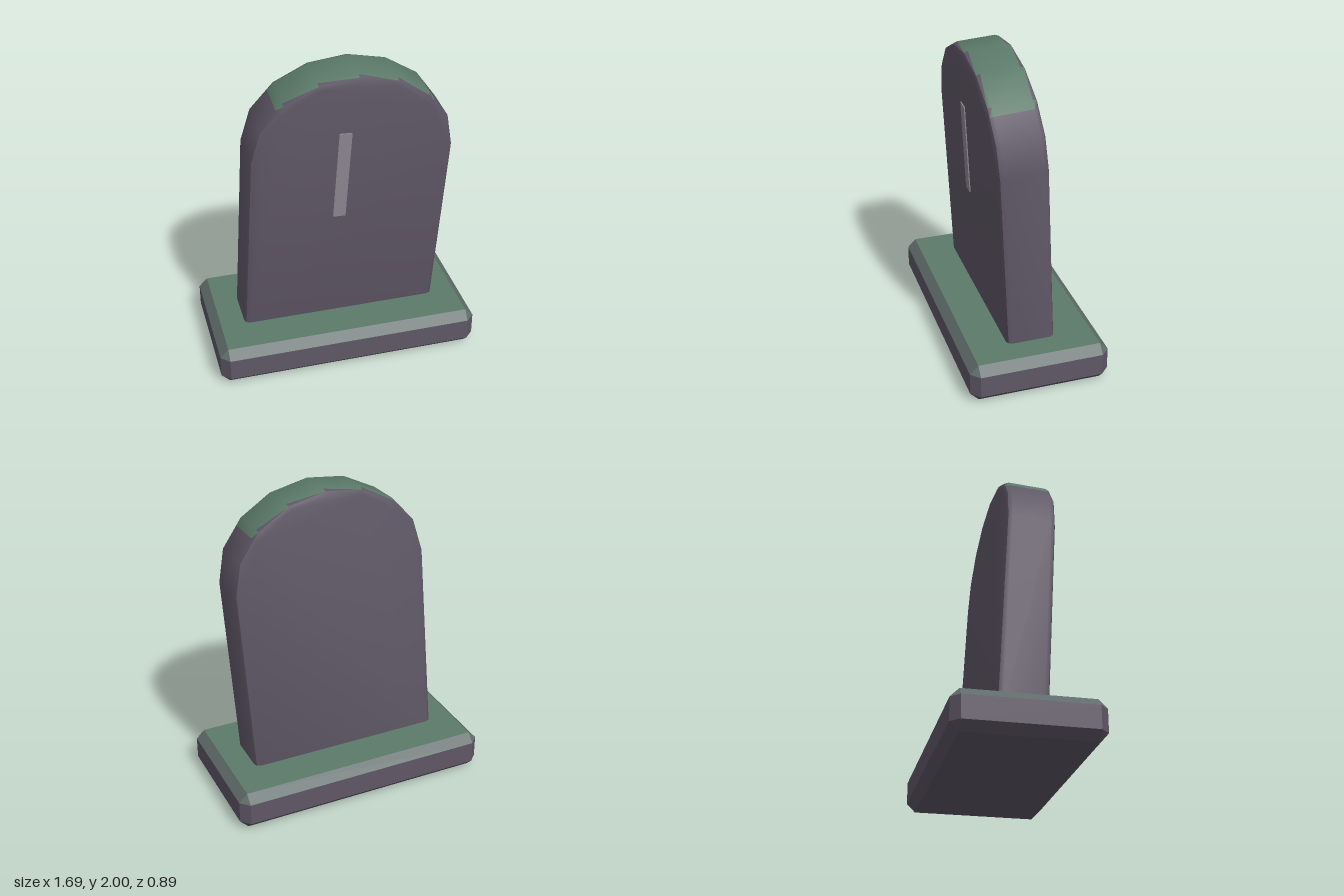
import * as THREE from 'three';
import { toCreasedNormals } from 'three/addons/utils/BufferGeometryUtils.js';
import { ConvexGeometry } from 'three/addons/geometries/ConvexGeometry.js';

const flat = (name, color) => {
  const m = new THREE.MeshStandardMaterial({ color });
  m.name = name;
  return m;
};

// Gives every triangle a material index chosen from its centre and normal
function paint(geometry, pick) {
  const p = geometry.attributes.position;
  const t = new THREE.Triangle(), centre = new THREE.Vector3(), normal = new THREE.Vector3();
  geometry.clearGroups();
  for (let i = 0; i < p.count; i += 3) {
    t.setFromAttributeAndIndices(p, i, i + 1, i + 2);
    t.getMidpoint(centre);
    t.getNormal(normal);
    geometry.addGroup(i, 3, pick(centre, normal));
  }
  return geometry;
}

// Box with every edge and corner cut off
function chamferBox(w, h, d, c) {
  const points = [];
  for (const x of [-1, 1]) for (const y of [-1, 1]) for (const z of [-1, 1])
    for (let axis = 0; axis < 3; axis++) {
      const cut = [c, c, c];
      cut[axis] = 0;
      points.push(new THREE.Vector3(x * (w / 2 - cut[0]), y * (h / 2 - cut[1]), z * (d / 2 - cut[2])));
    }
  return new ConvexGeometry(points);
}

export function createModel() {
  const stone = flat('stone', 0x5f5766);
  const moss = flat('moss', 0x5b7a69);
  const mossyEdge = flat('mossy stone', 0x5f6c6a);
  const paleStone = flat('pale stone', 0x8f8991);
  const model = new THREE.Group();
  model.name = 'gravestone';

  // Plinth with a mossy top
  const plinth = new THREE.Mesh(
    paint(chamferBox(1.69, 0.25, 0.89, 0.054), (c, n) => (n.y > 0.95 ? 1 : n.y > 0.3 ? 2 : 0)),
    [stone, moss, mossyEdge]);
  plinth.name = 'plinth';
  plinth.position.y = 0.125;
  model.add(plinth);

  // Leaning headstone, its origin at the top of the plinth
  const headstone = new THREE.Group();
  headstone.name = 'headstone';
  headstone.position.set(0, 0.25, 0.003);
  headstone.rotation.set(0.062, 0, -0.05);
  model.add(headstone);

  // Arched outline; the extra points on the chords mark where the moss ends
  const half = 0.635, shoulder = 1.21, rise = 0.535, bevel = 0.035, depth = 0.31;
  const arc = [];
  for (let i = 0; i <= 8; i++) {
    const a = (i * Math.PI) / 8;
    arc.push(new THREE.Vector2(half * Math.cos(a), shoulder + rise * Math.sin(a)));
  }
  const mossEnd = arc[2].clone().lerp(arc[1], 0.25);
  arc.splice(7, 0, new THREE.Vector2(-mossEnd.x, mossEnd.y));
  arc.splice(2, 0, mossEnd);
  const outline = new THREE.Shape([new THREE.Vector2(-half, -0.12), new THREE.Vector2(half, -0.12), ...arc]);

  const slabGeometry = new THREE.ExtrudeGeometry(outline, {
    depth: depth - 2 * bevel, bevelEnabled: true, bevelThickness: bevel,
    bevelSize: bevel, bevelOffset: -bevel, bevelSegments: 2,
  });
  slabGeometry.translate(0, 0, bevel - depth / 2);
  const slab = new THREE.Mesh(
    paint(toCreasedNormals(slabGeometry, 0.7), (c, n) =>
      (n.y > 0.3 && Math.abs(c.x) < mossEnd.x && Math.abs(c.z) < depth / 2 - 0.02 ? 1 : 0)),
    [stone, moss]);
  slab.name = 'slab';
  headstone.add(slab);

  // Pale upright mark on the front
  const mark = new THREE.Mesh(new THREE.BoxGeometry(0.08, 0.6, 0.008), paleStone);
  mark.name = 'frontMark';
  mark.position.set(-0.06, 1.07, depth / 2 + 0.003);
  headstone.add(mark);

  return model;
}
